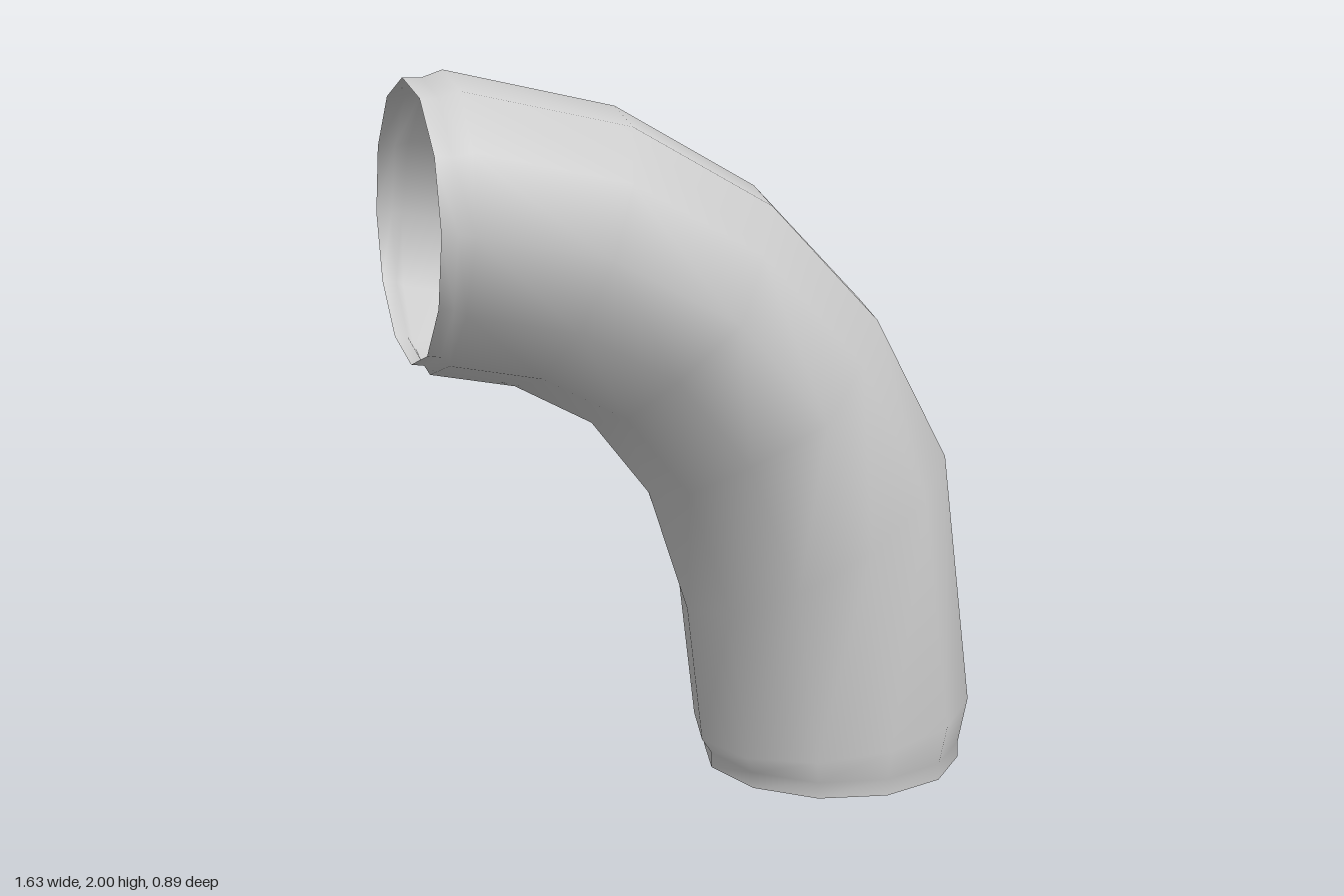
import * as THREE from 'three';

const SIDES = 12;
const CENTRE_Z = -0.038;

// One ring per row: inner bend x, y, outer bend x, y, half depth, extra bulge of the front vertex
const RINGS = [
  [0.03, 0, 0.79, 0, 0.38, 0],
  [0.03, 0.045, 0.79, 0.05, 0.38, 0],
  [0.0, 0.09, 0.815, 0.19, 0.407, 0],
  [-0.045, 0.49, 0.715, 0.95, 0.407, 0],
  [-0.16, 0.84, 0.485, 1.355, 0.407, 0.075],
  [-0.325, 1.05, 0.155, 1.685, 0.407, 0.075],
  [-0.54, 1.165, -0.25, 1.905, 0.407, 0],
  [-0.77, 1.21, -0.715, 2.0, 0.407, 0],
  [-0.785, 1.235, -0.77, 1.98, 0.38, 0],
  [-0.82, 1.24, -0.82, 1.98, 0.38, 0],
];

// Skin the rings into an open tube with shared, smooth vertices
function loft(rings) {
  const positions = [];
  const indices = [];
  rings.forEach(([ix, iy, ox, oy, depth, bulge], r) => {
    for (let s = 0; s < SIDES; s++) {
      const angle = (s / SIDES) * Math.PI * 2;
      const t = 0.5 + 0.5 * Math.cos(angle);
      const push = s === SIDES / 4 ? bulge : 0;
      positions.push(
        ix + (ox - ix) * t,
        iy + (oy - iy) * t,
        CENTRE_Z + depth * Math.sin(angle) + push
      );
      if (r < rings.length - 1) {
        const a = r * SIDES + s;
        const b = r * SIDES + ((s + 1) % SIDES);
        indices.push(a, a + SIDES, b, b, a + SIDES, b + SIDES);
      }
    }
  });
  const geometry = new THREE.BufferGeometry();
  geometry.setAttribute('position', new THREE.Float32BufferAttribute(positions, 3));
  geometry.setIndex(indices);
  geometry.computeVertexNormals();
  return geometry;
}

export function createModel() {
  const group = new THREE.Group();
  group.name = 'pipeElbow';

  // Curved pipe, open at both ends
  const material = new THREE.MeshStandardMaterial({ color: 0xcccccc, side: THREE.DoubleSide });
  const pipe = new THREE.Mesh(loft(RINGS), material);
  pipe.name = 'bentPipe';
  group.add(pipe);
  return group;
}
